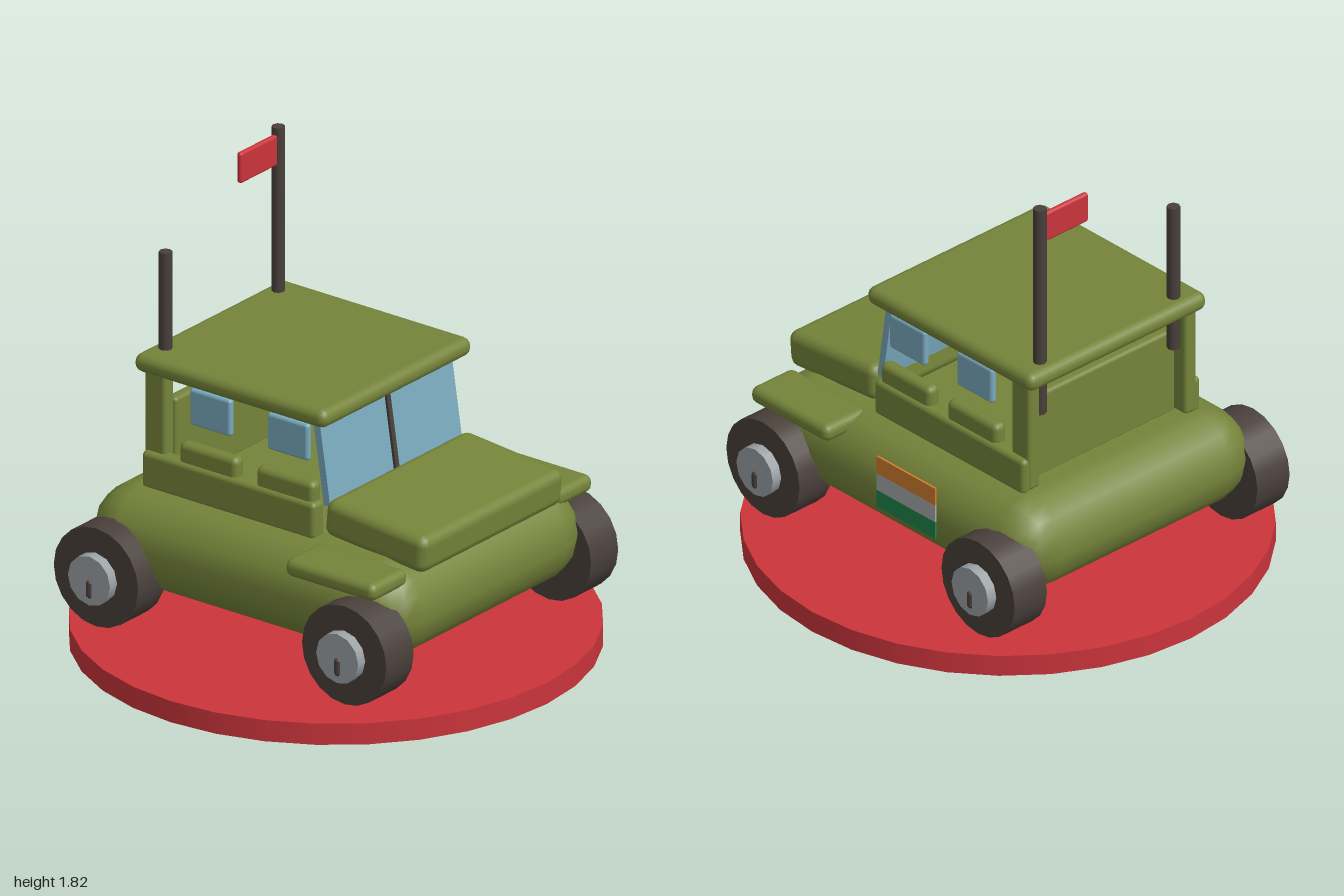
import * as THREE from 'three';
import { RoundedBoxGeometry } from 'three/addons/geometries/RoundedBoxGeometry.js';

const paint = (name, color) => {
  const m = new THREE.MeshStandardMaterial({ color });
  m.name = name;
  return m;
};

export function createModel() {
  const olive = paint('olive', 0x76843a);
  const red = paint('red', 0xca343b);
  const dark = paint('darkBrown', 0x4a403b);
  const steel = paint('steel', 0x9ba2a6);
  const glass = paint('glassBlue', 0x7aabbf);
  const orange = paint('orange', 0xd07e2e);
  const pale = paint('paleGrey', 0xa8a9ab);
  const green = paint('green', 0x1f854a);

  const model = new THREE.Group();
  model.name = 'jeepOnStand';

  const add = (name, geometry, material, x, y, z, parent = model) => {
    const mesh = new THREE.Mesh(geometry, material);
    mesh.name = name;
    mesh.position.set(x, y, z);
    parent.add(mesh);
    return mesh;
  };
  // Rounded block given by its size, corner radius and centre
  const block = (name, material, [w, h, d], r, [x, y, z], segments = 2) =>
    add(name, new RoundedBoxGeometry(w, h, d, segments, r), material, x, y, z);

  // Round stand
  add('stand', new THREE.CylinderGeometry(1, 1, 0.086, 32), red, 0, 0.043, 0);

  // Body and sloping bonnet
  block('body', olive, [1.24, 0.39, 1.52], 0.19, [0, 0.435, 0]);
  block('bonnet', olive, [0.86, 0.15, 0.48], 0.04, [0, 0.69, 0.512]).rotation.x = 0.09;

  // Cabin roof and rear panel
  block('roof', olive, [0.91, 0.075, 0.91], 0.035, [0, 1.113, -0.157]);
  block('rearPanel', olive, [0.76, 0.36, 0.05], 0.015, [0, 0.8, -0.487]);

  // Windscreen with a centre bar
  const windscreen = new THREE.Group();
  windscreen.name = 'windscreen';
  windscreen.position.set(0, 0.915, 0.245);
  windscreen.rotation.x = -0.15;
  model.add(windscreen);
  add('windscreenGlass', new THREE.BoxGeometry(0.8, 0.34, 0.03), glass, 0, 0, 0, windscreen);
  add('windscreenBar', new THREE.BoxGeometry(0.022, 0.34, 0.04), dark, 0, 0, 0.006, windscreen);

  for (const s of [1, -1]) {
    block('fender', olive, [0.22, 0.07, 0.425], 0.03, [s * 0.56, 0.59, 0.487]);
    block('sideWall', olive, [0.07, 0.15, 0.82], 0.02, [s * 0.42, 0.69, -0.16]);
    block('rearPost', olive, [0.06, 0.46, 0.1], 0.015, [s * 0.4, 0.86, -0.525]);
    for (const [z, windowZ] of [[0.097, 0.1], [-0.268, -0.267]]) {
      block('doorTop', olive, [0.06, 0.13, 0.275], 0.025, [s * 0.41, 0.775, z]);
      block('sideWindow', glass, [0.03, 0.15, 0.195], 0.014, [s * 0.41, 0.99, windowZ]);
    }

    // Wheels with hub and bolt
    for (const z of [0.588, -0.588]) {
      const wheel = new THREE.Group();
      wheel.name = 'wheel';
      wheel.position.set(s * 0.62, 0.33, z);
      model.add(wheel);
      const disc = (name, r, width, sides, material, x) => {
        const g = new THREE.CylinderGeometry(r, r, width, sides).rotateZ(Math.PI / 2);
        add(name, g, material, s * x, 0, 0, wheel);
      };
      disc('tyre', 0.2, 0.165, 20, dark, 0);
      disc('hub', 0.1, 0.05, 12, steel, 0.1);
      add('hubBolt', new THREE.CapsuleGeometry(0.016, 0.045, 3, 8), dark, s * 0.118, -0.035, 0, wheel);
    }
  }

  // Two rear poles, the tall one with a flag
  for (const [name, x, top] of [['shortPole', -0.338, 1.545], ['flagPole', 0.345, 1.82]]) {
    const bottom = 0.93;
    const g = new THREE.CylinderGeometry(0.026, 0.026, top - bottom, 8);
    add(name, g, dark, x, (top + bottom) / 2, -0.543);
  }
  block('flag', red, [0.225, 0.125, 0.024], 0.011, [0.217, 1.73, -0.543]);

  // Three painted bands on the left flank
  [green, pale, orange].forEach((material, i) => {
    add('sideBand', new THREE.BoxGeometry(0.009, 0.073, 0.32), material, 0.6235, 0.4085 + i * 0.073, -0.112);
  });

  return model;
}
